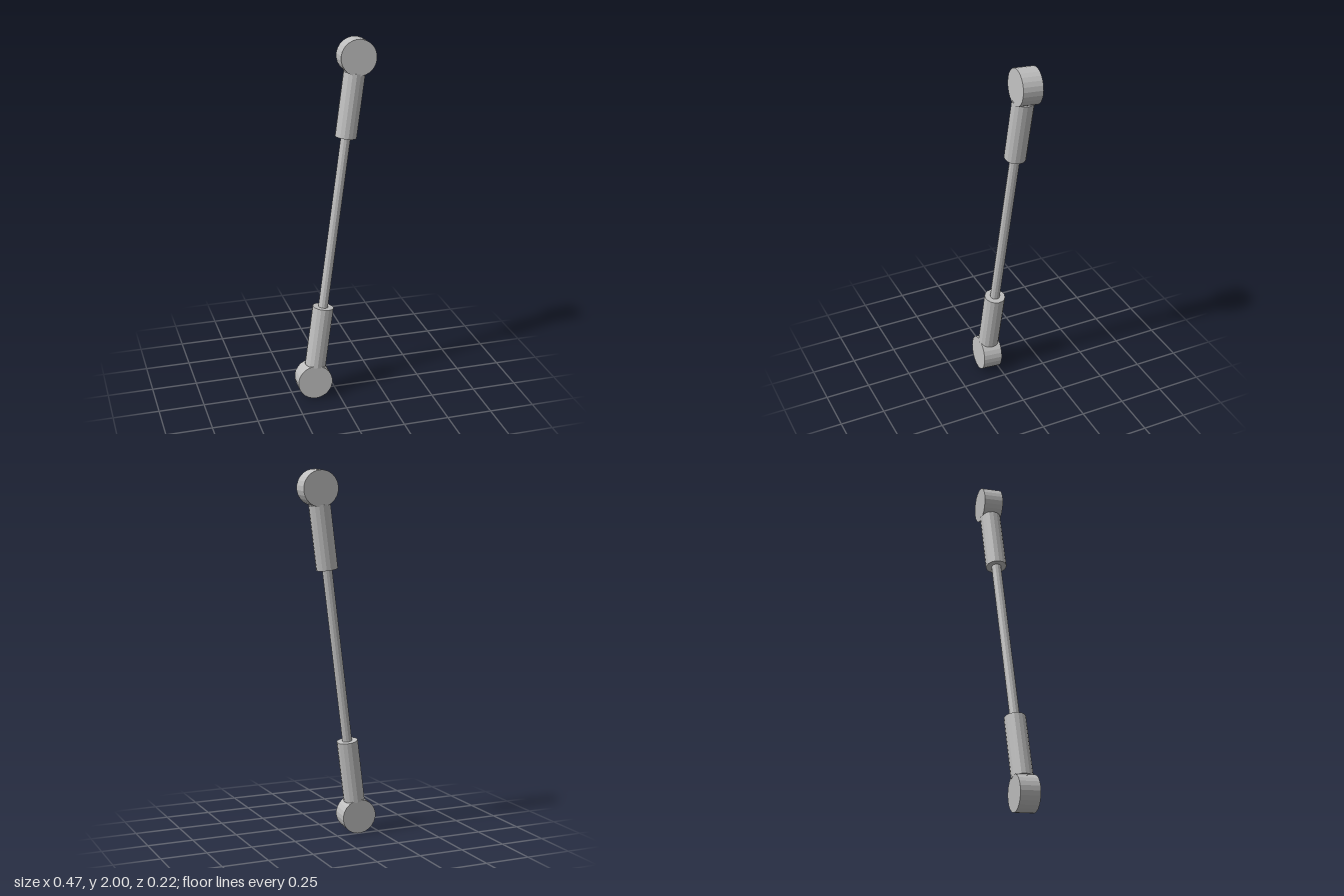
import * as THREE from 'three';

export function createModel() {
  const model = new THREE.Group();
  model.name = 'linkRod';
  const grey = new THREE.MeshStandardMaterial({ color: 0xbfbfbf, flatShading: true });
  grey.name = 'light grey metal';

  // The link is built upright, then tilted as a whole
  const link = new THREE.Group();
  link.name = 'tiltedLink';
  model.add(link);

  const tip = new THREE.Vector3(0.135, 0.9, -0.05);
  const half = tip.length();

  const cylinder = (name, radius, length, sides, y) => {
    const mesh = new THREE.Mesh(new THREE.CylinderGeometry(radius, radius, length, sides), grey);
    mesh.name = name;
    mesh.position.y = y;
    link.add(mesh);
    return mesh;
  };

  // Thin shaft joining both sleeves
  cylinder('shaft', 0.027, 1.1, 12, 0);

  // A sleeve and a round end joint at each end
  for (const [side, s] of [['upper', 1], ['lower', -1]]) {
    const inner = 0.48, outer = half - 0.085;
    cylinder(side + 'Sleeve', 0.058, outer - inner, 16, s * (inner + outer) / 2);
    cylinder(side + 'Joint', 0.0965, 0.108, 24, s * half).rotation.x = Math.PI / 2;
  }

  // Lean along the shaft, with the joint axes facing nearly forward
  const up = tip.clone().normalize();
  const forward = new THREE.Vector3(-0.04, 0, 1);
  forward.y = -(forward.x * up.x + forward.z * up.z) / up.y;
  forward.normalize();
  const right = new THREE.Vector3().crossVectors(up, forward);
  link.quaternion.setFromRotationMatrix(new THREE.Matrix4().makeBasis(right, up, forward));
  link.position.y = 1;

  return model;
}
